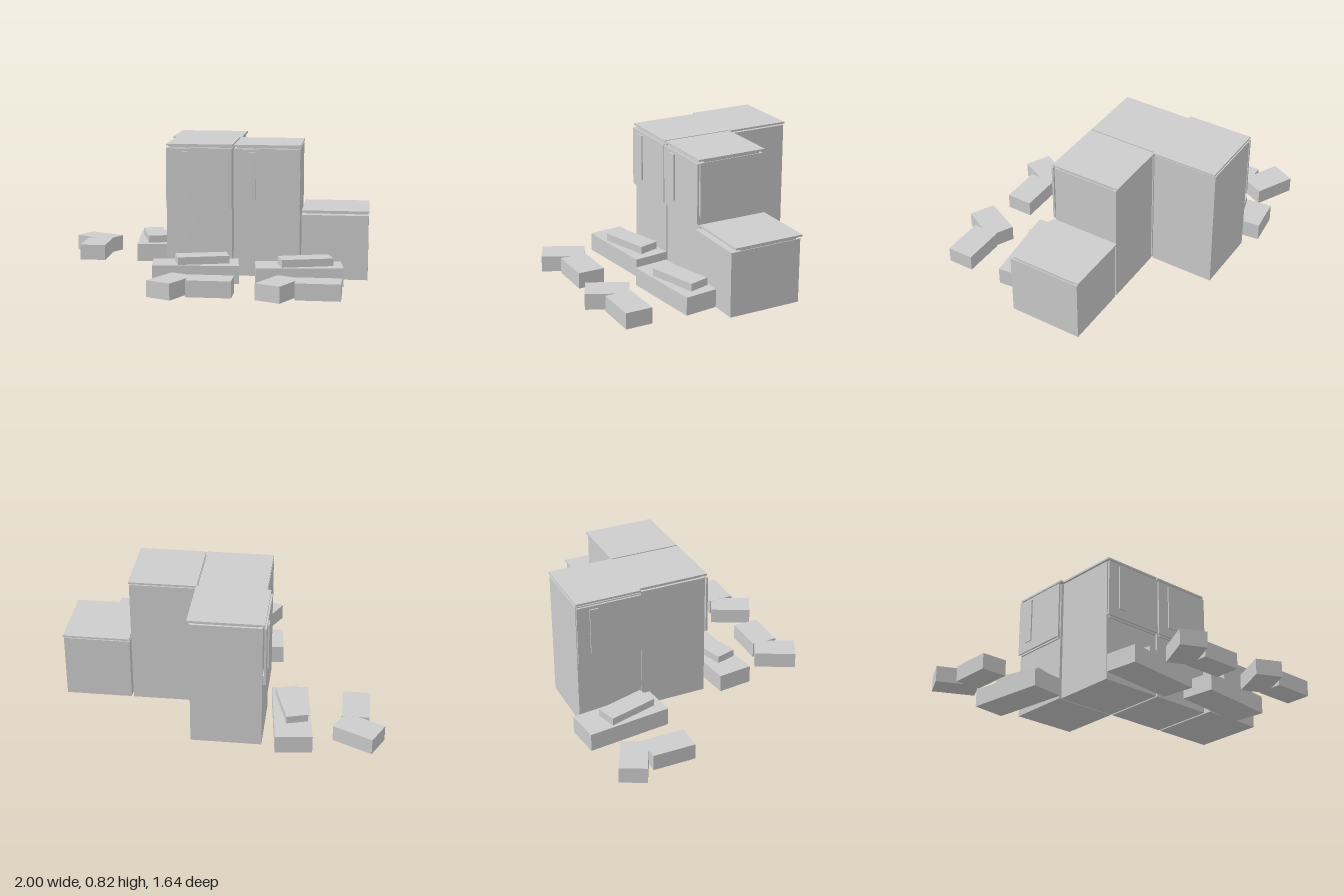
import * as THREE from 'three';

const grey = new THREE.MeshStandardMaterial({ color: 0xcccccc });
grey.name = 'plain grey';

// Box given by its extents [min, max] on each axis
function span(name, [x0, x1], [y0, y1], [z0, z1]) {
  const mesh = new THREE.Mesh(new THREE.BoxGeometry(x1 - x0, y1 - y0, z1 - z0), grey);
  mesh.name = name;
  mesh.position.set((x0 + x1) / 2, (y0 + y1) / 2, (z0 + z1) / 2);
  return mesh;
}

// Box lying at height y, turned about the vertical axis
function block(name, w, h, d, x, y, z, turn = 0) {
  const mesh = new THREE.Mesh(new THREE.BoxGeometry(w, h, d), grey);
  mesh.name = name;
  mesh.position.set(x, y + h / 2, z);
  mesh.rotation.y = turn;
  return mesh;
}

function place(name, x, z, turn, parts) {
  const group = new THREE.Group();
  group.name = name;
  group.position.set(x, 0, z);
  group.rotation.y = turn;
  group.add(...parts);
  return group;
}

// Thin lid resting on an inset spacer
function lid(y) {
  return [
    span('lidSpacer', [-0.19, 0.2], [y, y + 0.012], [-0.31, 0.065]),
    span('lid', [-0.205, 0.208], [y + 0.012, y + 0.024], [-0.347, 0.102]),
  ];
}

// Full-height cabinet with an upper door, its ledge and a long handle
function cabinet() {
  return [
    span('cabinetBody', [-0.205, 0.205], [0, 0.8], [-0.335, 0.09]),
    ...lid(0.8),
    span('doorLedge', [-0.19, 0.2], [0.412, 0.475], [0.09, 0.1]),
    span('door', [-0.205, 0.205], [0.424, 0.798], [0.099, 0.111]),
    span('handle', [-0.125, -0.07], [0.485, 0.778], [0.111, 0.12]),
  ];
}

// Large low slab carrying a smaller one, and an angled pair of blocks before it
function foreground() {
  return [
    block('lowSlab', 0.528, 0.113, 0.222, 0, 0, 0.255, 0.115),
    block('upperSlab', 0.318, 0.047, 0.132, 0.04, 0.113, 0.25, 0.287),
    block('straightBlock', 0.267, 0.1, 0.166, 0.137, 0, 0.638),
    block('angledBlock', 0.262, 0.0995, 0.166, -0.092, 0, 0.6625, 1.116),
  ];
}

export function createModel() {
  const model = new THREE.Group();
  model.name = 'cabinetCluster';
  const side = -Math.PI / 2;

  // Two cabinets facing front, one behind facing sideways
  model.add(
    place('leftCabinet', -0.055, 0, 0, cabinet()),
    place('middleCabinet', 0.367, 0, 0, cabinet()),
    place('rearCabinet', -0.182, -0.548, side, cabinet()),
  );

  // Low cabinet without a door
  model.add(place('lowCabinet', 0.79, 0, 0, [
    span('lowCabinetBody', [-0.205, 0.205], [0, 0.4], [-0.335, 0.128]),
    ...lid(0.4),
  ]));

  // Matching slab sets lying in front of each facing side
  model.add(
    place('leftSlabs', -0.055, 0, 0, foreground()),
    place('rightSlabs', 0.578, 0, 0, foreground()),
    place('rearSlabs', -0.182, -0.55, side, foreground()),
  );
  return model;
}
